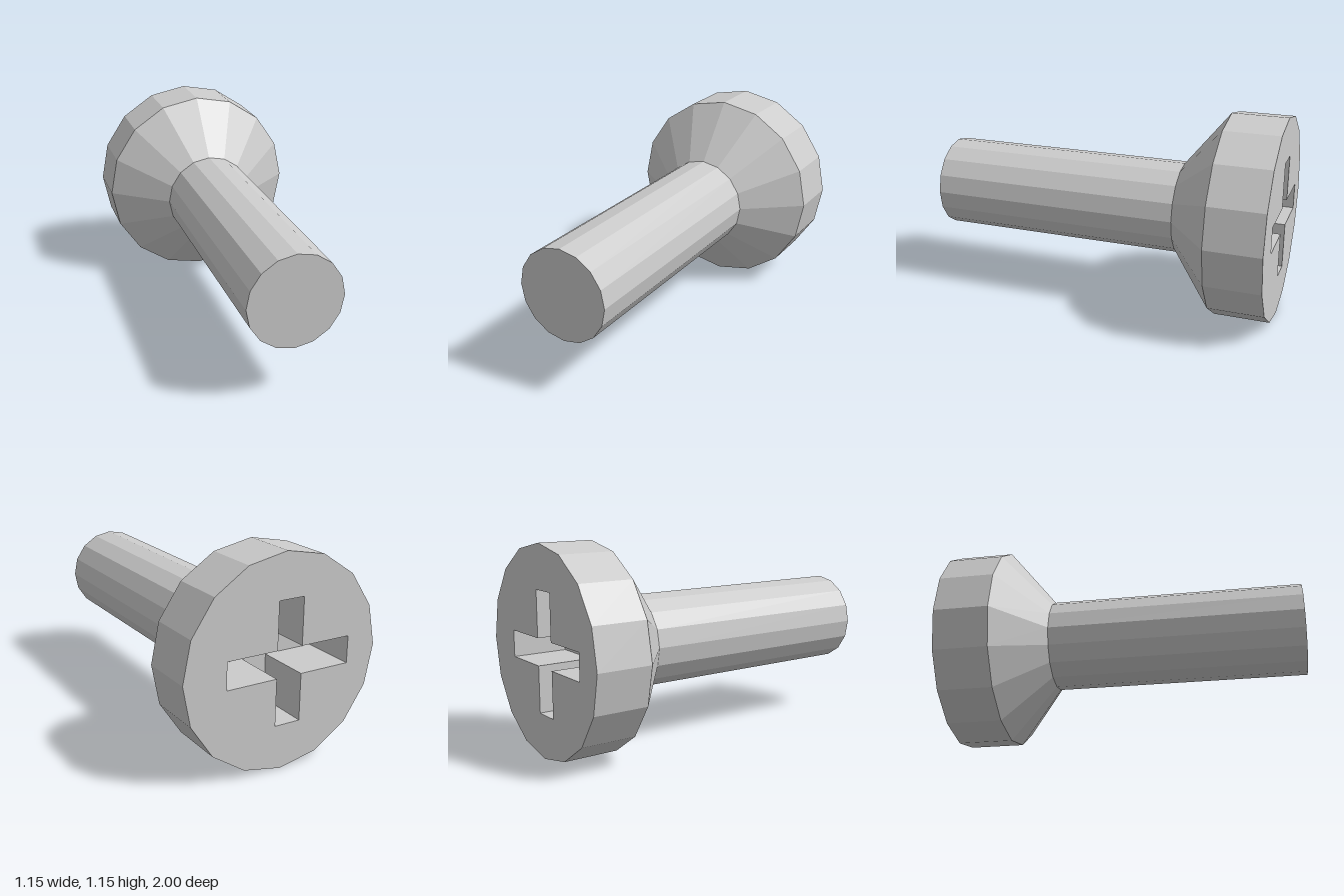
import * as THREE from 'three';

const SIDES = 16;
const HEAD_R = 0.573, SHANK_R = 0.26, CENTRE_Y = 0.573;
const BACK = -1, RIM = -0.69, NECK = -0.437, TIP = 1;

// Outline of the cross recess, slightly off the axis
function crossPoints() {
  const cx = -0.035, w = 0.074, lx = 0.365, ly = 0.33;
  return [
    [w, w], [w, ly], [-w, ly], [-w, w], [-lx, w], [-lx, -w],
    [-w, -w], [-w, -ly], [w, -ly], [w, -w], [lx, -w], [lx, w],
  ].map(([x, y]) => new THREE.Vector2(x + cx, y));
}

export function createModel() {
  const group = new THREE.Group();
  group.name = 'screw';
  const material = new THREE.MeshStandardMaterial({ color: 0xcccccc, flatShading: true });
  const add = (name, geometry, mat = material) => {
    const mesh = new THREE.Mesh(geometry, mat);
    mesh.name = name;
    mesh.position.y = CENTRE_Y;
    group.add(mesh);
    return mesh;
  };

  // Head: sixteen-sided disc pierced by the cross recess
  const outline = [];
  for (let i = 0; i < SIDES; i++) {
    const a = (i / SIDES) * Math.PI * 2;
    outline.push(new THREE.Vector2(Math.cos(a) * HEAD_R, Math.sin(a) * HEAD_R));
  }
  const headShape = new THREE.Shape(outline);
  headShape.holes.push(new THREE.Path(crossPoints()));
  const head = new THREE.ExtrudeGeometry(headShape, { depth: RIM - BACK, bevelEnabled: false });
  add('head', head.translate(0, 0, BACK));

  // Floor of the recess
  const floorMaterial = material.clone();
  floorMaterial.side = THREE.DoubleSide;
  const floor = new THREE.ShapeGeometry(new THREE.Shape(crossPoints()));
  add('recessFloor', floor.translate(0, 0, RIM), floorMaterial);

  // Tapered neck and straight shank, turned around the z axis
  const profile = [[HEAD_R, RIM], [SHANK_R, NECK], [SHANK_R, TIP], [0, TIP]]
    .map(([r, z]) => new THREE.Vector2(r, z));
  add('neckAndShank', new THREE.LatheGeometry(profile, SIDES).rotateX(Math.PI / 2));

  return group;
}
